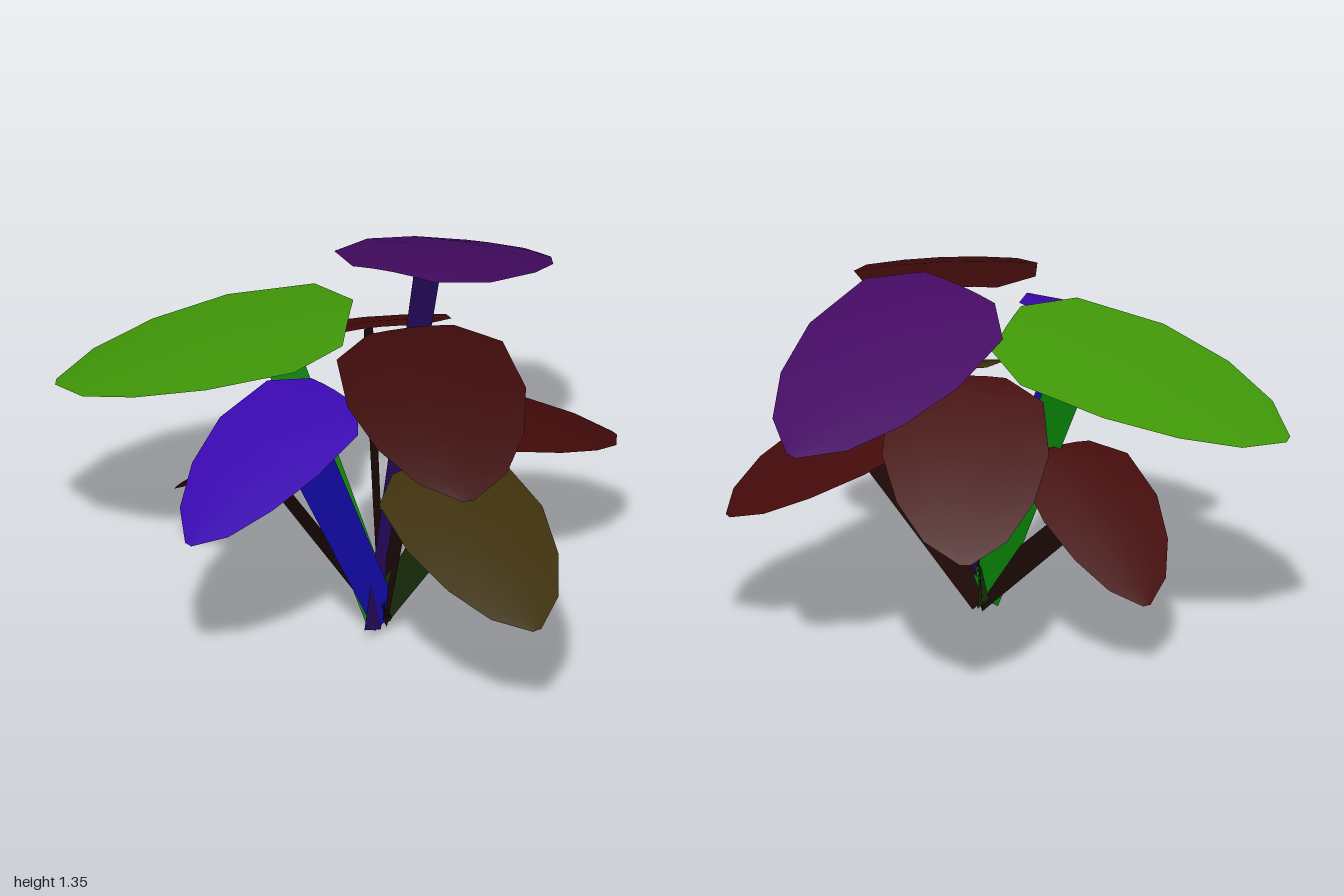
import * as THREE from 'three';

// Each leaf: base and tip of its midrib, half width, sideways tilt, arch,
// stem width, where the stem meets the midrib, stem foot [x, z], colours
const leaves = [
  { name: 'purpleBack', base: [-0.15, 1.34, -0.13], tip: [-0.47, 0.97, -1], half: 0.35, tilt: -0.1, arch: 0.03, stem: 0.2, at: 0.27, foot: [0.05, 0.13], colors: [0x440a62, 0x240a5c] },
  { name: 'redBackRight', base: [0.07, 0.8, -0.17], tip: [0.14, 0.51, -0.92], half: 0.27, tilt: 0, arch: 0.03, stem: 0.13, at: 0.28, foot: [0, 0.06], colors: [0x440a0a, 0x220a08] },
  { name: 'redBackLeft', base: [-0.27, 1.04, -0.17], tip: [-0.91, 0.61, -0.53], half: 0.3, tilt: 0, arch: 0.03, stem: 0.18, at: 0.33, foot: [0.02, 0.06], colors: [0x440a0a, 0x1e0908] },
  { name: 'redLowLeft', base: [-0.28, 0.7, 0.22], tip: [-0.85, 0.28, 0.25], half: 0.24, tilt: 0, arch: 0.04, stem: 0.11, at: 0.38, foot: [0.03, 0.05], colors: [0x440a0a, 0x1a0808] },
  { name: 'redFrontRight', base: [0.06, 1.24, -0.04], tip: [0.82, 1.01, 0.32], half: 0.33, tilt: -0.02, arch: 0.04, stem: 0.19, at: 0.25, foot: [0, 0.04], colors: [0x3c0a0a, 0x1a0908] },
  { name: 'oliveRight', base: [0.27, 0.82, 0.07], tip: [0.99, 0.48, 0.14], half: 0.29, tilt: 0, arch: 0.04, stem: 0.15, at: 0.29, foot: [-0.04, 0.03], colors: [0x3d300a, 0x1a300c] },
  { name: 'blueFront', base: [0.03, 1.09, 0.29], tip: [0.04, 0.72, 0.98], half: 0.27, tilt: 0, arch: 0.06, stem: 0.19, at: 0.27, foot: [0.03, 0.05], colors: [0x3a08b0, 0x120aa8] },
  { name: 'greenLeft', base: [-0.21, 1.17, 0.03], tip: [-0.96, 0.86, 0.77], half: 0.39, tilt: 0.08, arch: 0.03, stem: 0.14, at: 0.25, foot: [0, 0.05], colors: [0x409808, 0x088008] },
];

// Half width of a blade along its midrib, as [distance, fraction]
const outline = [[0, 0.48], [0.15, 0.93], [0.45, 1], [0.7, 0.82], [0.89, 0.5], [1, 0.06]];
const across = [-1, -0.5, 0, 0.5, 1];
const up = new THREE.Vector3(0, 1, 0);

function sheet(name, points, index, color) {
  const geometry = new THREE.BufferGeometry().setFromPoints(points);
  geometry.setIndex(index);
  geometry.computeVertexNormals();
  const mesh = new THREE.Mesh(geometry, new THREE.MeshStandardMaterial({ color, side: THREE.DoubleSide }));
  mesh.name = name;
  return mesh;
}

// Point on a blade's surface: u runs along the midrib, offset is the sideways distance
function bladePoint({ base, tip, half, tilt, arch }, u, offset, crown) {
  const start = new THREE.Vector3(...base);
  const axis = new THREE.Vector3(...tip).sub(start);
  const side = new THREE.Vector3().crossVectors(up, axis).normalize();
  const point = start.addScaledVector(axis, u).addScaledVector(side, offset * half);
  point.y += 4 * arch * u * (1 - u) + tilt * offset * half + crown;
  return point;
}

// Arched blade with a slight crown along the midrib
function makeBlade(leaf) {
  const points = [], index = [], n = across.length;
  outline.forEach(([u, width], row) => across.forEach((s, col) => {
    points.push(bladePoint(leaf, u, s * width, 0.02 * width * (1 - s * s)));
    if (row > 0 && col > 0) {
      const d = row * n + col, c = d - 1, b = d - n, a = b - 1;
      index.push(a, c, b, b, c, d);
    }
  }));
  return sheet(leaf.name + 'Blade', points, index, leaf.colors[0]);
}

// Flat tapering strip whose width runs in the given heading
function makeStem(name, foot, top, heading, footWidth, topWidth, color) {
  const along = top.clone().sub(foot).normalize();
  const spread = heading.clone().setY(0).projectOnPlane(along).normalize();
  const points = [[foot, -footWidth], [foot, footWidth], [top, topWidth], [top, -topWidth]]
    .map(([p, w]) => p.clone().addScaledVector(spread, w / 2));
  return sheet(name, points, [0, 1, 2, 0, 2, 3], color);
}

export function createModel() {
  const plant = new THREE.Group();
  plant.name = 'plant';
  for (const leaf of leaves) {
    const group = new THREE.Group();
    group.name = leaf.name + 'Leaf';
    const top = bladePoint(leaf, leaf.at, 0, -0.02);
    const foot = new THREE.Vector3(leaf.foot[0], 0.045, leaf.foot[1]);
    const heading = new THREE.Vector3(...leaf.tip).sub(new THREE.Vector3(...leaf.base));
    group.add(makeBlade(leaf), makeStem(leaf.name + 'Stem', foot, top, heading, 0.12, leaf.stem, leaf.colors[1]));
    plant.add(group);
  }
  // Small dark sprout at the base
  const sproutTip = new THREE.Vector3(-0.11, 0.27, -0.06);
  plant.add(makeStem('sprout', new THREE.Vector3(0.02, 0.06, 0.01), sproutTip, sproutTip, 0.1, 0.01, 0x0c0c0a));
  return plant;
}
